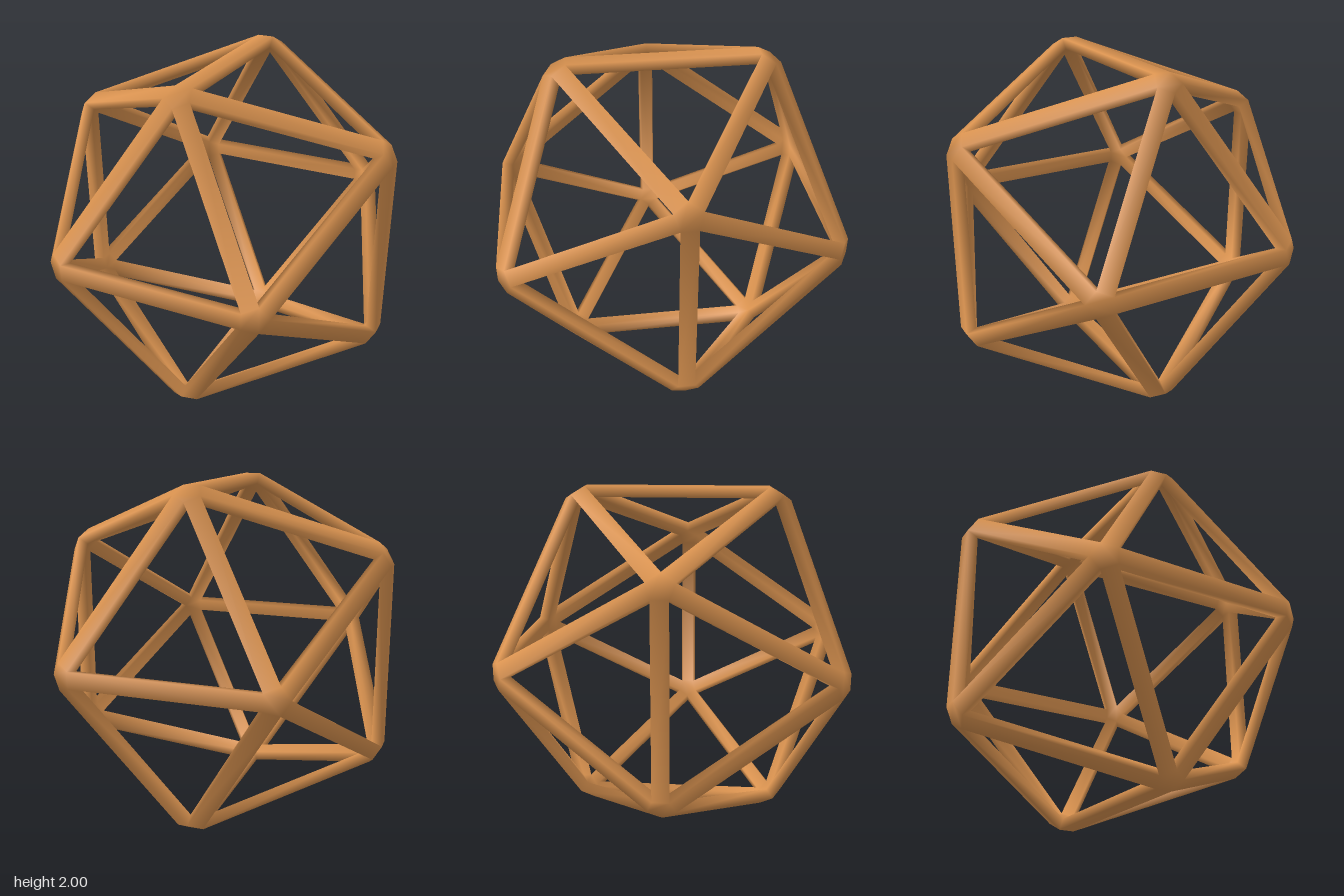
import * as THREE from 'three';

const A = 0.5257, B = 0.8507;               // unit icosahedron coordinates
const OUTER = { height: 1.134, reach: 0.082 };  // hub pentagon on the outer skin
const INNER = { height: 1.067, reach: 0.062 };  // same pentagon on the inner skin

export function createModel() {
  // twelve hub directions
  const hubs = [];
  for (const s of [-1, 1]) for (const t of [-1, 1]) {
    hubs.push(new THREE.Vector3(s * A, 0, t * B),
      new THREE.Vector3(0, s * B, t * A),
      new THREE.Vector3(s * B, t * A, 0));
  }
  const joined = (i, j) => hubs[i].distanceTo(hubs[j]) < 1.1;
  const middle = (list) => list.reduce((sum, p) => sum.add(p), new THREE.Vector3()).divideScalar(list.length);

  // triangular openings, each a triple of neighbouring hubs
  const openings = [];
  for (let i = 0; i < 12; i++) for (let j = i + 1; j < 12; j++) for (let k = j + 1; k < 12; k++) {
    if (joined(i, j) && joined(j, k) && joined(i, k)) openings.push([i, j, k]);
  }
  const centres = openings.map((o) => middle(o.map((i) => hubs[i])));

  // one shared corner per hub, opening and skin
  const points = [], index = [], ids = new Map();
  const corner = (h, f, skin) => {
    const key = `${h},${f},${skin.height}`;
    if (!ids.has(key)) {
      const n = hubs[h];
      const toward = centres[f].clone().addScaledVector(n, -centres[f].dot(n)).normalize();
      ids.set(key, points.length);
      points.push(n.clone().multiplyScalar(skin.height).addScaledVector(toward, skin.reach));
    }
    return ids.get(key);
  };

  // convex face, its corners sorted anticlockwise around the facing direction
  const addFace = (corners, facing) => {
    const n = facing.clone().normalize();
    const c = middle(corners.map((i) => points[i]));
    const u = points[corners[0]].clone().sub(c);
    u.addScaledVector(n, -u.dot(n)).normalize();
    const v = n.clone().cross(u);
    const angle = (i) => {
      const d = points[i].clone().sub(c);
      return Math.atan2(d.dot(v), d.dot(u));
    };
    const ring = [...corners].sort((a, b) => angle(a) - angle(b));
    for (let i = 1; i < ring.length - 1; i++) index.push(ring[0], ring[i], ring[i + 1]);
  };

  for (let i = 0; i < 12; i++) {
    // pentagonal hub caps
    const around = openings.map((o, f) => f).filter((f) => openings[f].includes(i));
    addFace(around.map((f) => corner(i, f, OUTER)), hubs[i]);
    addFace(around.map((f) => corner(i, f, INNER)), hubs[i].clone().negate());

    // struts: outer face, inner face and the walls of the two openings beside it
    for (let j = i + 1; j < 12; j++) {
      if (!joined(i, j)) continue;
      const mid = middle([hubs[i], hubs[j]]);
      const sides = around.filter((f) => openings[f].includes(j));
      const span = (skin) => sides.flatMap((f) => [corner(i, f, skin), corner(j, f, skin)]);
      addFace(span(OUTER), mid);
      addFace(span(INNER), mid.clone().negate());
      for (const f of sides) {
        addFace([corner(i, f, OUTER), corner(j, f, OUTER), corner(i, f, INNER), corner(j, f, INNER)],
          centres[f].clone().sub(mid));
      }
    }
  }

  // shared corners give softly rounded shading
  const geometry = new THREE.BufferGeometry().setFromPoints(points);
  geometry.setIndex(index);
  geometry.computeVertexNormals();

  const frame = new THREE.Mesh(geometry, new THREE.MeshStandardMaterial({ color: 0xd9924f }));
  frame.name = 'icosahedronFrame';
  frame.position.y = 1;

  const group = new THREE.Group();
  group.name = 'openIcosahedron';
  group.add(frame);
  return group;
}
